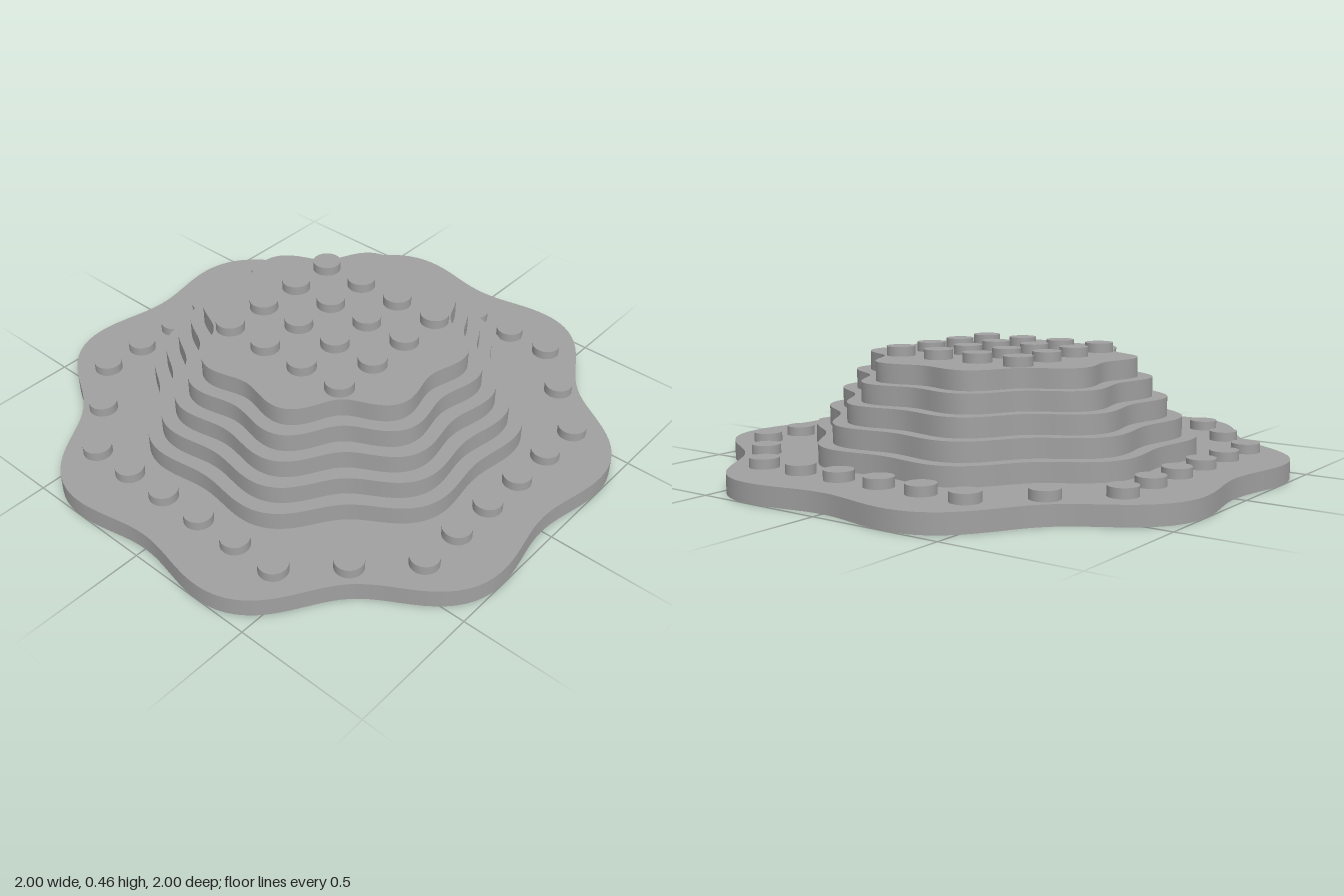
import * as THREE from 'three';
import { toCreasedNormals } from 'three/addons/utils/BufferGeometryUtils.js';

const GRID = 0.175;   // stud spacing
const PLATE = 0.07;   // height of one plate
const STUD_R = 0.0525;
const STUD_H = 0.035;

// Closed eight-lobed outline whose widest point lies at the given extent
function wavyOutline(extent, mean, wave, square) {
  const pts = [];
  for (let i = 0; i < 192; i++) {
    const a = (i / 192) * Math.PI * 2;
    const r = mean - wave * Math.cos(8 * a) + square * Math.cos(4 * a);
    pts.push(new THREE.Vector2(Math.cos(a) * r, Math.sin(a) * r));
  }
  const k = extent / Math.max(...pts.map((p) => p.x));
  return pts.map((p) => p.multiplyScalar(k));
}

// Flat slab of a shape, lying between y and y + height
function slab(shape, y, height) {
  const geo = new THREE.ExtrudeGeometry(shape, { depth: height, bevelEnabled: false, curveSegments: 16 });
  geo.rotateX(-Math.PI / 2);
  geo.translate(0, y, 0);
  return toCreasedNormals(geo, 0.6);
}

export function createModel() {
  const grey = new THREE.MeshStandardMaterial({ color: 0xa0a0a0 });
  grey.name = 'grey';
  const model = new THREE.Group();
  model.name = 'steppedPlateStack';

  const add = (name, geo, x = 0, y = 0, z = 0, parent = model) => {
    const mesh = new THREE.Mesh(geo, grey);
    mesh.name = name;
    mesh.position.set(x, y, z);
    parent.add(mesh);
  };

  // Base plate: solid upper half, lower half with a stepped recess
  const baseOutline = wavyOutline(1, 1.005, 0.053, 0.008);
  add('baseTop', slab(new THREE.Shape(baseOutline), PLATE / 2, PLATE / 2));
  const rim = new THREE.Shape(baseOutline);
  const quarter = [[3, -1], [3, 1], [2, 1], [2, 2], [1, 2]];
  const recess = [];
  for (let q = 0; q < 4; q++) {
    for (const [u, v] of quarter) {
      recess.push(new THREE.Vector2(u * GRID, v * GRID).rotateAround(new THREE.Vector2(), q * Math.PI / 2));
    }
  }
  rim.holes.push(new THREE.Path(recess));
  add('baseRim', slab(rim, 0, PLATE / 2));

  // Tubes inside the recess, in a diamond
  const ring = new THREE.Shape().absarc(0, 0, 0.071, 0, Math.PI * 2);
  ring.holes.push(new THREE.Path().absarc(0, 0, STUD_R, 0, Math.PI * 2, true));
  const tubeGeo = slab(ring, 0, PLATE / 2);
  const tubes = new THREE.Group();
  tubes.name = 'undersideTubes';
  model.add(tubes);
  for (let i = -2; i <= 2; i++) {
    for (let j = -2; j <= 2; j++) {
      if (Math.abs(i) + Math.abs(j) <= 2) add('tube', tubeGeo, i * GRID, 0, j * GRID, tubes);
    }
  }

  // Five shrinking wavy tiers
  for (let t = 0; t < 5; t++) {
    const extent = 0.69 - t * 0.0525;
    const outline = wavyOutline(extent, extent, 0.033, 0.01);
    add('tier' + (t + 1), slab(new THREE.Shape(outline), PLATE * (t + 1), PLATE));
  }

  // Studs
  const studGeo = new THREE.CylinderGeometry(STUD_R, STUD_R, STUD_H, 32);
  const studGroup = (name, y, cells) => {
    const group = new THREE.Group();
    group.name = name;
    model.add(group);
    for (const [i, j] of cells) add('stud', studGeo, i * GRID, y + STUD_H / 2, j * GRID, group);
  };

  // Four by four studs on the top tier
  const topCells = [];
  for (let i = -1.5; i <= 1.5; i++) for (let j = -1.5; j <= 1.5; j++) topCells.push([i, j]);
  studGroup('topStuds', PLATE * 6, topCells);

  // Six studs along each side of the base, and one per corner
  const baseCells = [];
  for (const s of [-1, 1]) {
    for (let i = -2.5; i <= 2.5; i++) baseCells.push([i, 4.5 * s], [4.5 * s, i]);
    baseCells.push([3.5, 3.5 * s], [-3.5, 3.5 * s]);
  }
  studGroup('baseStuds', PLATE, baseCells);

  return model;
}
